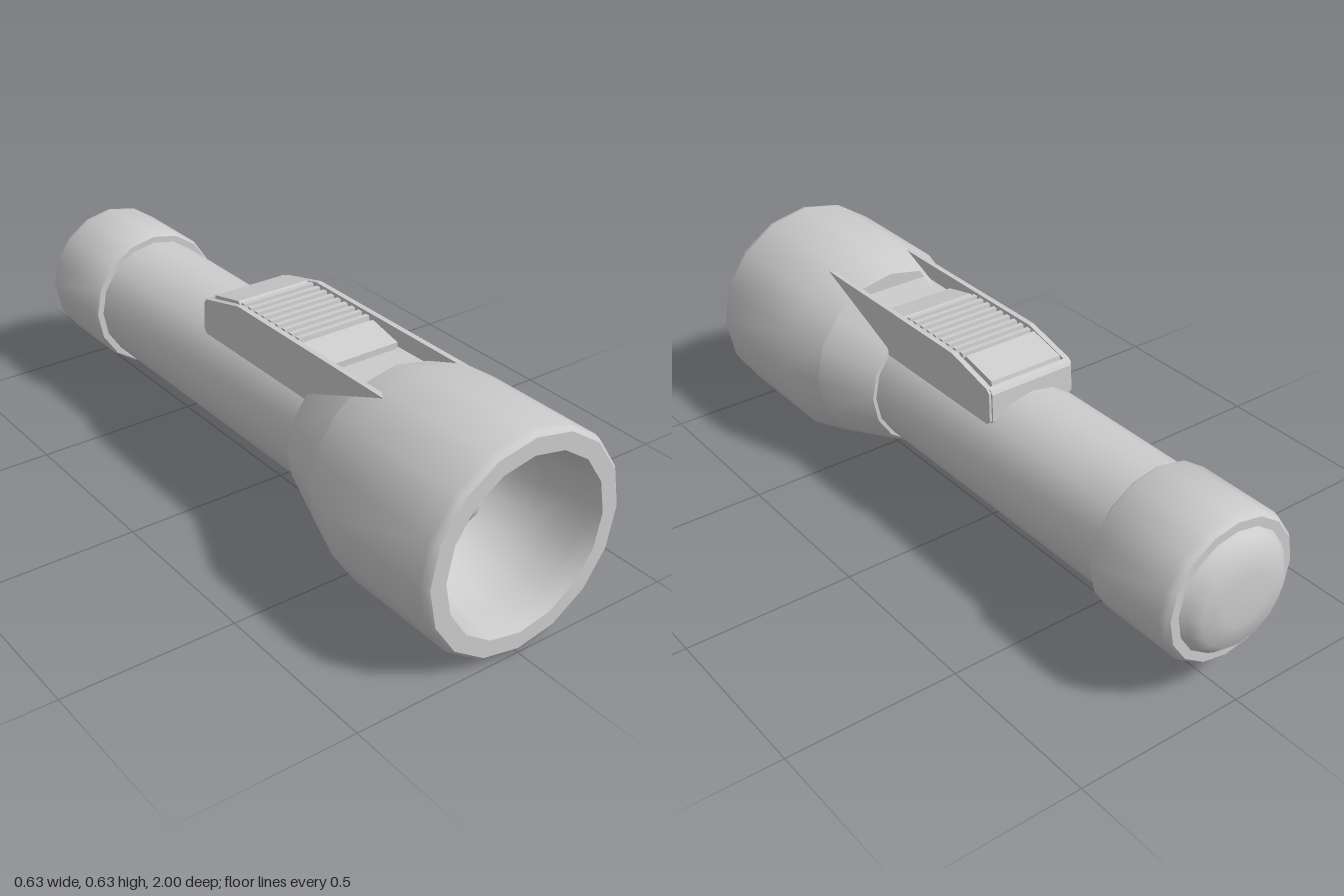
import * as THREE from 'three';
import { toCreasedNormals } from 'three/addons/utils/BufferGeometryUtils.js';

const AXIS = 0.314;
const SIDES = 16;
const material = new THREE.MeshStandardMaterial({ color: 0xcccccc });

// Profile of [radius, z], back to front along the outside, turned about the torch axis.
function turned(name, profile, sides = SIDES, start = 0, length = Math.PI * 2) {
  const points = profile.map(([r, z]) => new THREE.Vector2(r, z));
  const geometry = new THREE.LatheGeometry(points, sides, start, length);
  geometry.rotateX(Math.PI / 2);
  const mesh = new THREE.Mesh(toCreasedNormals(geometry, 0.7), material);
  mesh.position.y = AXIS;
  mesh.name = name;
  return mesh;
}

// Side profile of [z, y], extruded across x around the given centre.
function slab(name, profile, width, x = 0) {
  const shape = new THREE.Shape(profile.map(([z, y]) => new THREE.Vector2(z, y)));
  const geometry = new THREE.ExtrudeGeometry(shape, { depth: width, bevelEnabled: false });
  geometry.translate(0, 0, -width / 2).rotateY(-Math.PI / 2);
  const mesh = new THREE.Mesh(geometry, material);
  mesh.position.x = x;
  mesh.name = name;
  return mesh;
}

export function createModel() {
  const torch = new THREE.Group();
  torch.name = 'flashlight';

  // Handle tube
  torch.add(turned('handleTube', [[0.189, -0.7], [0.189, 0.36]]));

  // Tail cap with rounded edges and a domed end
  torch.add(turned('tailCap', [
    [0.165, -0.95], [0.2, -0.95], [0.208, -0.943], [0.214, -0.925],
    [0.214, -0.677], [0.208, -0.668], [0.185, -0.668],
  ]));
  torch.add(turned('tailDome', [
    [0, -1], [0.075, -0.998], [0.138, -0.99], [0.162, -0.968], [0.178, -0.945],
  ]));

  // Head: the rear cone leaves a gap on top for the switch
  const gap = Math.PI / 8;
  torch.add(turned('headCone', [[0.185, 0.312], [0.2, 0.312], [0.207, 0.32], [0.27, 0.5]],
    SIDES - 2, Math.PI + gap, Math.PI * 2 - gap * 2));
  torch.add(turned('headStep', [[0, 0.5], [0.27, 0.5]]));
  torch.add(turned('headBarrel', [
    [0.27, 0.5], [0.312, 0.622], [0.313, 0.975], [0.309, 0.992], [0.3, 1], [0.252, 1],
  ]));

  // Reflector bowl
  const bowl = [[0.252, 1], [0.24, 0.95]];
  for (let i = 1; i <= 8; i++) {
    const a = (i / 8) * Math.PI / 2;
    bowl.push([i === 8 ? 0 : 0.24 * Math.cos(a), 0.95 - 0.31 * Math.sin(a)]);
  }
  torch.add(turned('reflector', bowl));

  // Bulb on a short neck
  const bulb = [];
  for (let i = 0; i <= 6; i++) {
    const a = (i / 6) * Math.PI;
    bulb.push([i % 6 ? 0.077 * Math.sin(a) : 0, 0.73 - 0.077 * Math.cos(a)]);
  }
  torch.add(turned('bulb', bulb, 8));
  torch.add(turned('bulbNeck', [[0.04, 0.63], [0.04, 0.7]], 8));

  // Switch housing: two side walls, a floor and a back wall
  const housing = new THREE.Group();
  housing.name = 'switchHousing';
  const wall = [
    [0.62, 0.588], [0, 0.588], [-0.155, 0.549], [-0.166, 0.538],
    [-0.17, 0.455], [-0.157, 0.442], [0.31, 0.442],
  ];
  for (const side of [-1, 1]) housing.add(slab('housingWall', wall, 0.016, side * 0.132));
  housing.add(slab('housingFloor', [[0.5, 0.54], [-0.15, 0.53], [-0.15, 0.442], [0.32, 0.442], [0.5, 0.52]], 0.25));
  housing.add(slab('housingBack', [
    [-0.152, 0.55], [-0.165, 0.545], [-0.172, 0.535], [-0.175, 0.455], [-0.162, 0.442], [-0.152, 0.442],
  ], 0.266));
  torch.add(housing);

  // Sliding button with grip ribs
  const button = new THREE.Group();
  button.name = 'switchButton';
  button.add(slab('buttonBody', [
    [0.365, 0.52], [0.365, 0.556], [0.262, 0.58], [0.255, 0.572],
    [-0.02, 0.572], [-0.032, 0.585], [-0.145, 0.559], [-0.152, 0.52],
  ], 0.232));
  for (let i = 0; i < 9; i++) {
    const z = -0.01 + i * 0.031;
    button.add(slab('gripRib', [[z - 0.009, 0.568], [z + 0.009, 0.568], [z + 0.007, 0.586], [z - 0.007, 0.586]], 0.232));
  }
  torch.add(button);

  return torch;
}
